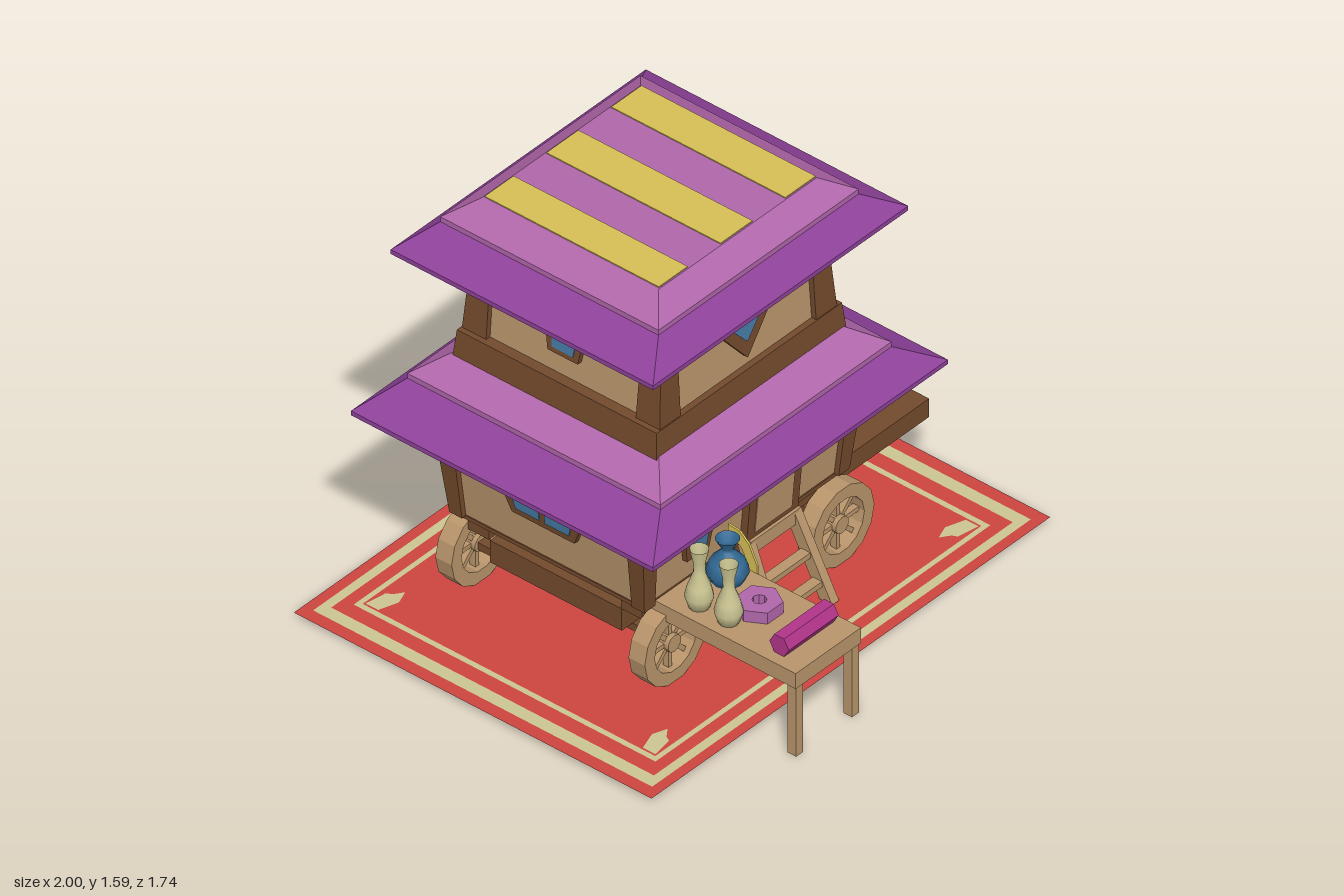
import * as THREE from 'three';
import { mergeGeometries } from 'three/addons/utils/BufferGeometryUtils.js';

const mat = (name, color, side = THREE.FrontSide) => {
  const m = new THREE.MeshStandardMaterial({ color, side });
  m.name = name;
  return m;
};
const D = THREE.DoubleSide;

export function createModel() {
  const tan = mat('light wood', 0xb8946a, D), brown = mat('dark wood', 0x734a2c);
  const purple = mat('deep purple', 0x8e419a, D), lilac = mat('lilac', 0xb066aa, D);
  const yellow = mat('yellow', 0xd6bd55, D), red = mat('carpet red', 0xcc4540, D);
  const cream = mat('cream', 0xcbc592, D), glass = mat('window blue', 0x477aa5);
  const blue = mat('vase blue', 0x316a96, D), magenta = mat('magenta', 0xb03488);
  const root = new THREE.Group();
  root.name = 'wagonHouse';

  const add = (name, geo, material, parent = root) => {
    const m = new THREE.Mesh(geo, material);
    m.name = name;
    parent.add(m);
    return m;
  };
  // Box from its minimum and maximum corners
  const box = (name, material, x0, x1, y0, y1, z0, z1, parent) => {
    const m = add(name, new THREE.BoxGeometry(x1 - x0, y1 - y0, z1 - z0), material, parent);
    m.position.set((x0 + x1) / 2, (y0 + y1) / 2, (z0 + z1) / 2);
    return m;
  };
  const polygon = pts => new THREE.Shape(pts.map(p => new THREE.Vector2(...p)));
  const rect = (a, b) => polygon([[-a, -b], [a, -b], [a, b], [-a, b]]);

  // ---- House: every part is centred on this group
  const house = new THREE.Group();
  house.name = 'house';
  house.position.set(-0.07, 0, -0.137);
  root.add(house);

  // Four-sided tapering block, optionally without top and bottom
  const frustum = (name, material, [ax, az, y0], [bx, bz, y1], open = false) => {
    const g = new THREE.BoxGeometry(2, 2, 2), p = g.attributes.position;
    for (let i = 0; i < p.count; i++) {
      const up = p.getY(i) > 0;
      p.setXYZ(i, p.getX(i) * (up ? bx : ax), up ? y1 : y0, p.getZ(i) * (up ? bz : az));
    }
    if (open) g.setIndex([...g.index.array].filter((_, i) => i < 12 || i > 23));
    g.clearGroups();
    g.computeVertexNormals();
    return add(name, g, material, house);
  };

  const lower = { y0: 0.345, y1: 0.8, x: [0.515, 0.57], z: [0.42, 0.46], w: [0.055, 0.085] };
  const upper = { y0: 1.05, y1: 1.44, x: [0.445, 0.41], z: [0.427, 0.402], w: [0.105, 0.075] };
  const inset = 0.02;
  for (const [label, s] of [['lower', lower], ['upper', upper]]) {
    frustum(label + 'Walls', tan, [s.x[0] - inset, s.z[0] - inset, s.y0], [s.x[1] - inset, s.z[1] - inset, s.y1]);
    frustum(label + 'WallBeam', brown, [s.x[1] - 0.008, s.z[1] - 0.008, s.y1 - 0.04], [s.x[1] - 0.008, s.z[1] - 0.008, s.y1]);
    // Leaning corner posts
    for (const sx of [-1, 1]) for (const sz of [-1, 1]) {
      const g = new THREE.BoxGeometry(1, 1, 1), p = g.attributes.position;
      for (let i = 0; i < p.count; i++) {
        const k = p.getY(i) > 0 ? 1 : 0;
        p.setXYZ(i, sx * (s.x[k] - s.w[k] / 2) + p.getX(i) * s.w[k], k ? s.y1 : s.y0,
          sz * (s.z[k] - s.w[k] / 2) + p.getZ(i) * s.w[k]);
      }
      g.computeVertexNormals();
      add(label + 'CornerPost', g, brown, house);
    }
  }
  frustum('floor', brown, [0.5, 0.405, 0.335], [0.5, 0.405, 0.35]);
  frustum('upperSill', brown, [0.477, 0.44, 0.95], [0.465, 0.43, 1.06]);

  // Two-tier roofs: thin rim, flared skirt, upper tier
  const roof = (name, e, m, t) => {
    frustum(name + 'Rim', purple, e, [e[0], e[1], e[2] + 0.018], true);
    frustum(name + 'Skirt', purple, [e[0], e[1], e[2] + 0.018], m, true);
    frustum(name + 'TierRim', lilac, m, [m[0], m[1], m[2] + 0.02], true);
    frustum(name + 'Tier', lilac, [m[0], m[1], m[2] + 0.02], t);
  };
  roof('lowerRoof', [0.74, 0.65, 0.758], [0.58, 0.545, 0.87], [0.46, 0.435, 0.97]);
  roof('upperRoof', [0.64, 0.565, 1.405], [0.502, 0.47, 1.505], [0.397, 0.38, 1.588]);
  for (const [a, b] of [[-0.46, -0.315], [-0.15, 0.01], [0.175, 0.327]])
    box('roofStripe', yellow, a + 0.07, b + 0.07, 1.585, 1.592, -0.375, 0.375, house);

  // Plate that follows a leaning wall; side 0 front, 1 left, 2 back, 3 right
  const plate = (name, material, side, s, shape, from, to) => {
    const g = new THREE.ExtrudeGeometry(shape, { depth: to - from, bevelEnabled: false, curveSegments: 8 });
    const p = g.attributes.position, h = side % 2 ? s.x : s.z;
    for (let i = 0; i < p.count; i++) {
      const t = (p.getY(i) - s.y0) / (s.y1 - s.y0);
      p.setZ(i, p.getZ(i) + from - inset + h[0] + (h[1] - h[0]) * t);
    }
    g.computeVertexNormals();
    g.rotateY(side * Math.PI / 2);
    return add(name, g, material, house);
  };
  const trap = (u, y0, y1, a, b) => polygon([[u - a, y0], [u + a, y0], [u + b, y1], [u - b, y1]]);
  const fan = (w, base, side, rise) => polygon([[0, base],
    ...[1, 0.5, 0, -0.5, -1].map(t => [w * t, side + rise * (1 - t * t)])]);
  for (const side of [0, 2]) {
    plate('fanWindowFrame', brown, side, upper, fan(0.152, 1.1, 1.28, 0.05), -0.005, 0.02);
    plate('fanWindowGlass', glass, side, upper, fan(0.095, 1.165, 1.27, 0.045), 0.02, 0.023);
  }
  for (const side of [1, 3]) {
    plate('narrowWindowFrame', brown, side, upper, trap(0, 1.145, 1.34, 0.065, 0.1), -0.005, 0.02);
    plate('narrowWindowGlass', glass, side, upper, trap(0, 1.165, 1.315, 0.045, 0.066), 0.02, 0.023);
  }
  for (const side of [1, 2, 3]) {
    plate('doubleWindowFrame', brown, side, lower, trap(0, 0.5, 0.69, 0.135, 0.212), -0.005, 0.02);
    for (const d of [-1, 1])
      plate('doubleWindowGlass', glass, side, lower,
        polygon([[d * 0.012, 0.525], [d * 0.115, 0.525], [d * 0.152, 0.66], [d * 0.012, 0.66]]), 0.02, 0.023);
  }
  plate('smallWindowFrame', brown, 0, lower, trap(-0.255, 0.44, 0.62, 0.055, 0.086), -0.005, 0.02);
  plate('smallWindowGlass', glass, 0, lower, trap(-0.255, 0.465, 0.603, 0.038, 0.056), 0.02, 0.023);

  // Arched door with a curtain ending in a ragged fringe
  const arch = (r, y0, yc) => {
    const s = new THREE.Shape();
    s.moveTo(0.118 - r, y0).lineTo(0.118 + r, y0).lineTo(0.118 + r, yc);
    s.absarc(0.118, yc, r, 0, Math.PI, false);
    return s;
  };
  plate('doorFrame', brown, 0, lower, arch(0.13, 0.35, 0.63), -0.005, 0.028);
  plate('doorPanel', tan, 0, lower, arch(0.093, 0.37, 0.62), 0.028, 0.031);
  const curtain = new THREE.Shape();
  curtain.moveTo(0.025, 0.54);
  for (let i = 1; i <= 6; i++) curtain.lineTo(0.025 + i * 0.031, i % 2 ? 0.585 : 0.54);
  curtain.lineTo(0.211, 0.62).absarc(0.118, 0.62, 0.093, 0, Math.PI, false);
  plate('doorCurtain', yellow, 0, lower, curtain, 0.031, 0.034);

  // ---- Chassis, axles and bench
  box('chassis', brown, -0.54, 0.61, 0.18, 0.27, -0.42, 0.147);
  for (const z of [-0.515, 0.145]) box('longBeam', brown, -0.54, 0.9, 0.27, 0.345, z, z + 0.09);
  box('bench', lilac, 0.4, 0.615, 0.23, 0.36, -0.42, 0.147);

  // Spoked wheels
  const rim = new THREE.Shape().absarc(0, 0, 0.155, 0, Math.PI * 2);
  rim.holes.push(new THREE.Path().absarc(0, 0, 0.105, 0, Math.PI * 2));
  const wheelGeo = new THREE.ExtrudeGeometry(rim, { depth: 0.07, bevelEnabled: false, curveSegments: 7 }).translate(0, 0, -0.035);
  const spokes = mergeGeometries([0, 1, 2, 3].map(i =>
    new THREE.BoxGeometry(0.22, 0.018, 0.025).rotateZ(i * Math.PI / 4)));
  const hubGeo = new THREE.CylinderGeometry(0.033, 0.033, 0.06, 10).rotateX(Math.PI / 2);
  for (const x of [-0.465, 0.377]) {
    box('axle', brown, x - 0.02, x + 0.02, 0.15, 0.18, -0.52, 0.25);
    for (const z of [-0.552, 0.28]) {
      const wheel = new THREE.Group();
      wheel.name = 'wheel';
      wheel.position.set(x, 0.165, z);
      root.add(wheel);
      add('wheelRim', wheelGeo, tan, wheel);
      add('spokes', spokes, tan, wheel);
      add('hub', hubGeo, tan, wheel);
    }
  }

  // ---- Ladder leaning on the doorstep
  const foot = [0.415, 0.02], head = [0.27, 0.345];
  for (const sx of [-1, 1]) {
    const g = new THREE.BoxGeometry(0.035, 1, 0.055), p = g.attributes.position;
    for (let i = 0; i < p.count; i++) {
      const [z, y] = p.getY(i) > 0 ? head : foot;
      p.setXYZ(i, 0.052 + sx * (p.getY(i) > 0 ? 0.115 : 0.137) + p.getX(i), y, z + p.getZ(i));
    }
    g.computeVertexNormals();
    add('ladderRail', g, tan);
  }
  for (const [y, t] of [[0.32, 0.055], [0.19, 0.022], [0.09, 0.022]]) {
    const z = foot[0] + (head[0] - foot[0]) * (y - foot[1]) / (head[1] - foot[1]);
    box('ladderRung', tan, -0.07, 0.17, y - t / 2, y + t / 2, z - 0.02, z + 0.02);
  }

  // ---- Market table with goods
  box('tableTop', tan, -0.513, -0.185, 0.285, 0.348, 0.245, 0.873);
  for (const x of [-0.505, -0.225]) box('tableLeg', tan, x, x + 0.035, 0, 0.29, 0.832, 0.868);
  const vase = (name, material, pts, x, z) => {
    const g = new THREE.LatheGeometry(pts.map(p => new THREE.Vector2(...p)), 12);
    add(name, g, material).position.set(x, 0.348, z);
  };
  const tall = [[0, 0], [0.036, 0], [0.05, 0.045], [0.04, 0.085], [0.02, 0.14], [0.021, 0.18], [0.033, 0.235]];
  vase('creamVase', cream, tall, -0.44, 0.522);
  vase('creamVase', cream, tall, -0.44, 0.395);
  vase('blueVase', blue, [[0, 0], [0.055, 0], [0.074, 0.04], [0.06, 0.08], [0.022, 0.12], [0.022, 0.135], [0.042, 0.17]], -0.272, 0.373);
  const roll = add('clothRoll', new THREE.CylinderGeometry(0.042, 0.042, 0.25, 6).rotateX(Math.PI / 2).rotateY(Math.PI / 2).toNonIndexed(), magenta);
  roll.geometry.rotateX(Math.PI / 6);
  roll.geometry.computeVertexNormals();
  roll.position.set(-0.345, 0.386, 0.765);
  const hex = polygon([0, 1, 2, 3, 4, 5].map(i => [0.08 * Math.cos(i * Math.PI / 3), 0.08 * Math.sin(i * Math.PI / 3)]));
  hex.holes.push(new THREE.Path().absarc(0, 0, 0.025, 0, Math.PI * 2));
  add('hexagonBasket', new THREE.ExtrudeGeometry(hex, { depth: 0.045, bevelEnabled: false, curveSegments: 4 }).rotateX(-Math.PI / 2), lilac)
    .position.set(-0.33, 0.348, 0.56);
  const scarf = polygon([[0.3, 0.49], [0.35, 0.485], [0.39, 0.45], [0.425, 0.38], [0.43, 0.3],
    [0.39, 0.3], [0.385, 0.375], [0.355, 0.425], [0.3, 0.45]]);
  add('yellowScarf', new THREE.ExtrudeGeometry(scarf, { depth: 0.008, bevelEnabled: false }).rotateY(-Math.PI / 2), yellow)
    .position.x = -0.178;

  // ---- Cushions on the bench: bulging slabs with raised bands
  const slab = (u0, u1, grow) => {
    const g = new THREE.BoxGeometry(1, 1, 1, 6, 6, 1), p = g.attributes.position;
    for (let i = 0; i < p.count; i++) {
      const u = u0 + (u1 - u0) * (p.getX(i) + 0.5), v = p.getY(i) * 2;
      const bulge = 0.012 + 0.034 * (1 - u ** 4) * (1 - v ** 4);
      p.setXYZ(i, u * 0.105 * (1 - 0.08 * (1 - v * v)), v * 0.088 * grow * (1 - 0.1 * (1 - u * u)), Math.sign(p.getZ(i)) * bulge * grow);
    }
    g.computeVertexNormals();
    return g;
  };
  for (const [z, turn, twist] of [[0.06, 0.05, 0.05], [-0.3, -0.15, 0.4]]) {
    const cushion = new THREE.Group();
    cushion.name = 'cushion';
    cushion.position.set(0.54, 0.425, z);
    cushion.rotation.set(-1.05, Math.PI / 2 + turn, twist, 'YXZ');
    root.add(cushion);
    add('cushionBody', slab(-1, 1, 1), purple, cushion);
    for (const u of [-0.65, 0.5]) add('cushionBand', slab(u, u + 0.15, 1.05), yellow, cushion);
  }

  // ---- Carpet: nested flat bands and corner leaves
  const carpet = new THREE.Group();
  carpet.name = 'carpet';
  carpet.position.set(0, 0.016, -0.1);
  carpet.rotation.x = -Math.PI / 2;
  root.add(carpet);
  const bands = [[1, 0.77], [0.95, 0.73], [0.9, 0.695], [0.84, 0.65], [0.818, 0.63]];
  const leaf = [[0.81, 0.624], [0.725, 0.61], [0.715, 0.59], [0.68, 0.565], [0.735, 0.545], [0.81, 0.57]];
  const leaves = [[1, 1], [-1, 1], [1, -1], [-1, -1]].map(([a, b]) => leaf.map(([x, y]) => [a * x, b * y]));
  bands.forEach((b, i) => {
    const s = rect(...b);
    if (i < 4) s.holes.push(rect(...bands[i + 1]));
    else leaves.forEach(l => s.holes.push(polygon(l)));
    add(i % 2 ? 'carpetStripe' : 'carpetField', new THREE.ShapeGeometry(s), i % 2 ? cream : red, carpet);
  });
  leaves.forEach(l => add('carpetLeaf', new THREE.ShapeGeometry(polygon(l)), cream, carpet));

  return root;
}
